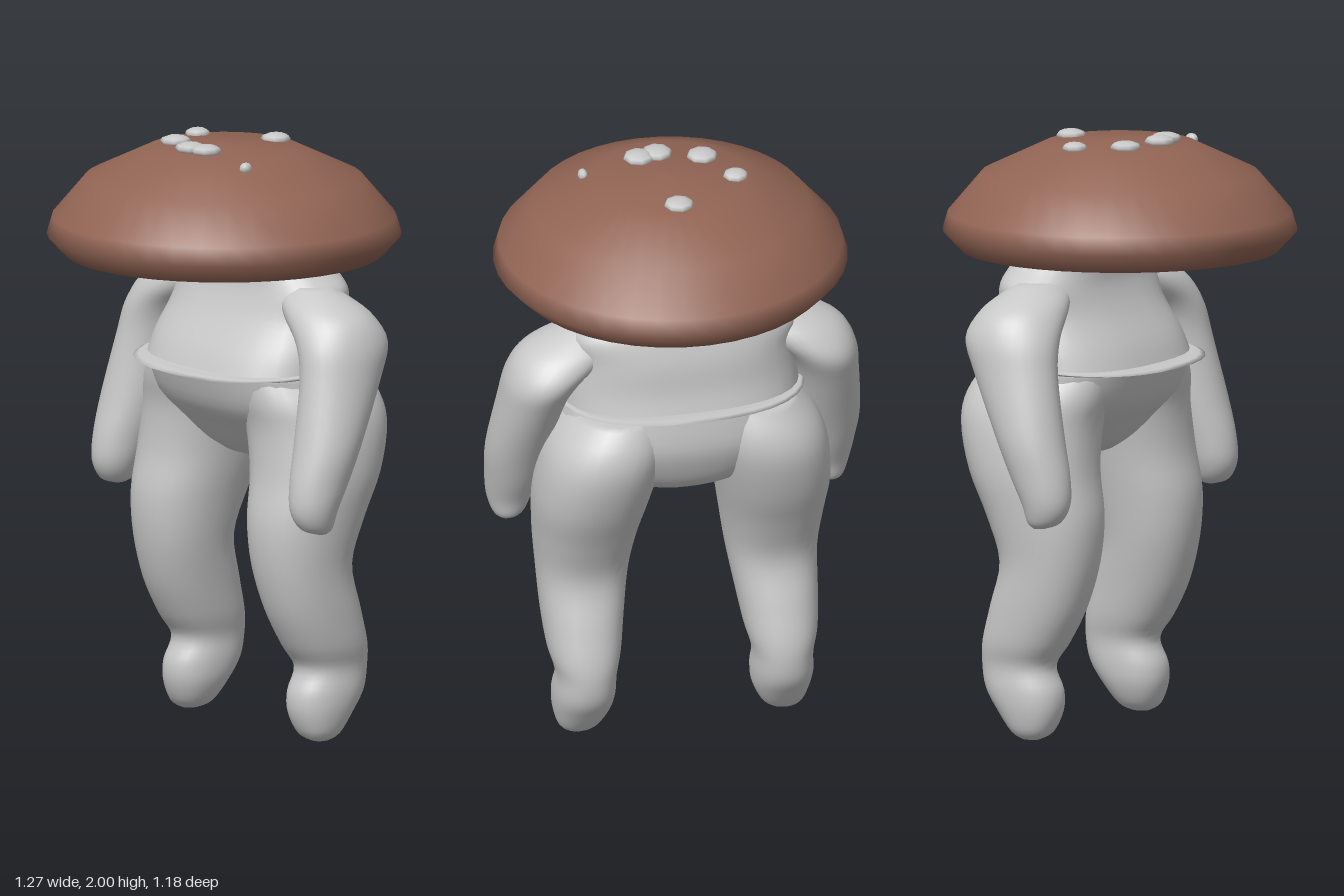
import * as THREE from 'three';

// Smooth 1D spline through the values v at parameter t (0..v.length-1)
function spline(v, t) {
  const i = Math.min(Math.floor(t), v.length - 2), f = t - i;
  const p1 = v[i], p2 = v[i + 1];
  const p0 = i > 0 ? v[i - 1] : p1, p3 = i + 2 < v.length ? v[i + 2] : p2;
  const m1 = (p2 - p0) / 2, m2 = (p3 - p1) / 2;
  return (2 * f ** 3 - 3 * f ** 2 + 1) * p1 + (f ** 3 - 2 * f ** 2 + f) * m1
    + (3 * f ** 2 - 2 * f ** 3) * p2 + (f ** 3 - f ** 2) * m2;
}

// Closed body from rounded cross-sections [y, xMin, xMax, zMin, zMax], bottom to top.
// power > 2 makes the sections boxier; tilt lowers the front edge of every section.
function loft(sections, { power = 2, tilt = 0, steps = 4, sides = 32 } = {}) {
  const columns = [0, 1, 2, 3, 4].map(k => sections.map(s => s[k]));
  const rings = [];
  const last = sections.length - 1;
  for (let i = 0; i <= last * steps; i++) rings.push(columns.map(c => spline(c, i / steps)));
  // collapse both ends to a point
  const point = r => [r[0], (r[1] + r[2]) / 2, (r[1] + r[2]) / 2, (r[3] + r[4]) / 2, (r[3] + r[4]) / 2];
  rings.unshift(point(rings[0]));
  rings.push(point(rings[rings.length - 1]));

  const positions = [], index = [];
  const round = c => Math.sign(c) * Math.abs(c) ** (2 / power);
  rings.forEach(([y, x0, x1, z0, z1], i) => {
    for (let j = 0; j < sides; j++) {
      const a = j / sides * Math.PI * 2;
      const x = (x0 + x1) / 2 + (x1 - x0) / 2 * round(Math.cos(a));
      const z = (z0 + z1) / 2 + (z1 - z0) / 2 * round(Math.sin(a));
      positions.push(x, y - tilt * (z + 0.1), z);
      if (i === rings.length - 1) continue;
      const p = i * sides + j, q = i * sides + (j + 1) % sides;
      index.push(p, p + sides, q, q, p + sides, q + sides);
    }
  });
  const g = new THREE.BufferGeometry();
  g.setAttribute('position', new THREE.Float32BufferAttribute(positions, 3));
  g.setIndex(index);
  g.computeVertexNormals();
  return g;
}

export function createModel() {
  const group = new THREE.Group();
  const grey = new THREE.MeshStandardMaterial({ name: 'pale grey', color: 0xc8c8c8, side: THREE.DoubleSide });
  const brown = new THREE.MeshStandardMaterial({ name: 'cap brown', color: 0x916454, side: THREE.DoubleSide });
  const add = (name, geometry, material = grey) => {
    const mesh = new THREE.Mesh(geometry, material);
    mesh.name = name;
    group.add(mesh);
    return mesh;
  };

  // Mushroom cap, with its pale underside
  const profile = [[0.40, 1.64], [0.53, 1.612], [0.588, 1.675], [0.57, 1.735], [0.46, 1.865], [0.25, 1.965], [0, 1.98]];
  add('cap', new THREE.LatheGeometry(profile.map(p => new THREE.Vector2(...p)), 40), brown);
  const under = add('capUnderside', new THREE.CircleGeometry(0.405, 40));
  under.rotation.x = Math.PI / 2;
  under.position.y = 1.638;

  // Spots on the cap: x, y, z, radius
  const spots = [
    [0.02, 1.972, -0.2, 0.05], [-0.21, 1.971, -0.05, 0.042], [-0.133, 1.976, 0.1, 0.052],
    [0.01, 1.98, 0.147, 0.052], [0.075, 1.98, 0.132, 0.052], [0.27, 1.948, 0.115, 0.024],
  ];
  for (const [x, y, z, r] of spots) {
    const spot = add('spot', new THREE.SphereGeometry(r, 8, 6));
    spot.scale.set(r < 0.03 ? 0.7 : 1, 0.02 / r, 1);
    spot.position.set(x, y, z);
  }

  // Head tucked under the cap
  const head = add('head', new THREE.SphereGeometry(1, 32, 20));
  head.scale.set(0.23, 0.15, 0.17);
  head.position.set(0, 1.668, -0.07);

  // Upper body, narrowing from the hem to the neck
  add('torso', loft([
    [1.24, -0.40, 0.40, -0.38, 0.16],
    [1.32, -0.39, 0.39, -0.36, 0.12],
    [1.42, -0.37, 0.37, -0.35, 0.05],
    [1.50, -0.38, 0.38, -0.33, 0.01],
    [1.56, -0.32, 0.32, -0.31, 0.00],
    [1.63, -0.25, 0.25, -0.29, 0.00],
  ], { power: 2.5, tilt: 0.07 }));

  // Thin hem that flares out around the waist
  add('hem', loft([
    [1.243, -0.40, 0.40, -0.39, 0.17],
    [1.249, -0.415, 0.415, -0.44, 0.225],
    [1.256, -0.40, 0.40, -0.39, 0.17],
  ], { power: 2.4, tilt: 0.07, steps: 2 }));

  // Hips
  add('pelvis', loft([
    [0.93, -0.15, 0.15, -0.26, -0.06],
    [0.97, -0.24, 0.24, -0.32, -0.01],
    [1.04, -0.34, 0.34, -0.36, 0.05],
    [1.13, -0.41, 0.41, -0.385, 0.12],
    [1.25, -0.40, 0.40, -0.375, 0.165],
  ], { power: 2.3, tilt: 0.04 }));

  // Arms and legs, mirrored left to right
  const arm = [
    [0.75, 0.535, 0.575, 0.00, 0.04],
    [0.77, 0.495, 0.598, -0.025, 0.09],
    [0.83, 0.465, 0.617, -0.045, 0.12],
    [0.92, 0.445, 0.628, -0.09, 0.115],
    [1.05, 0.42, 0.635, -0.15, 0.085],
    [1.25, 0.39, 0.612, -0.25, 0.045],
    [1.36, 0.34, 0.595, -0.30, 0.03],
    [1.44, 0.24, 0.555, -0.28, 0.01],
    [1.49, 0.20, 0.48, -0.24, -0.02],
    [1.53, 0.22, 0.38, -0.19, -0.07],
  ];
  const leg = [
    [0.005, 0.33, 0.38, -0.16, -0.10],
    [0.03, 0.28, 0.415, -0.20, -0.06],
    [0.10, 0.245, 0.435, -0.255, -0.03],
    [0.17, 0.235, 0.44, -0.30, -0.03],
    [0.25, 0.235, 0.435, -0.315, -0.06],
    [0.33, 0.215, 0.455, -0.31, -0.01],
    [0.45, 0.195, 0.467, -0.28, 0.05],
    [0.60, 0.17, 0.475, -0.245, 0.09],
    [0.75, 0.145, 0.49, -0.295, 0.10],
    [0.90, 0.115, 0.50, -0.365, 0.075],
    [1.05, 0.08, 0.485, -0.41, 0.07],
    [1.15, 0.06, 0.45, -0.405, 0.09],
    [1.24, 0.06, 0.38, -0.36, 0.10],
  ];
  for (const [side, s] of [['left', 1], ['right', -1]]) {
    const mirror = rows => s > 0 ? rows : rows.map(([y, x0, x1, z0, z1]) => [y, -x1, -x0, z0, z1]);
    add(side + 'Arm', loft(mirror(arm)));
    add(side + 'Leg', loft(mirror(leg), { power: 2.2 }));
  }
  return group;
}
